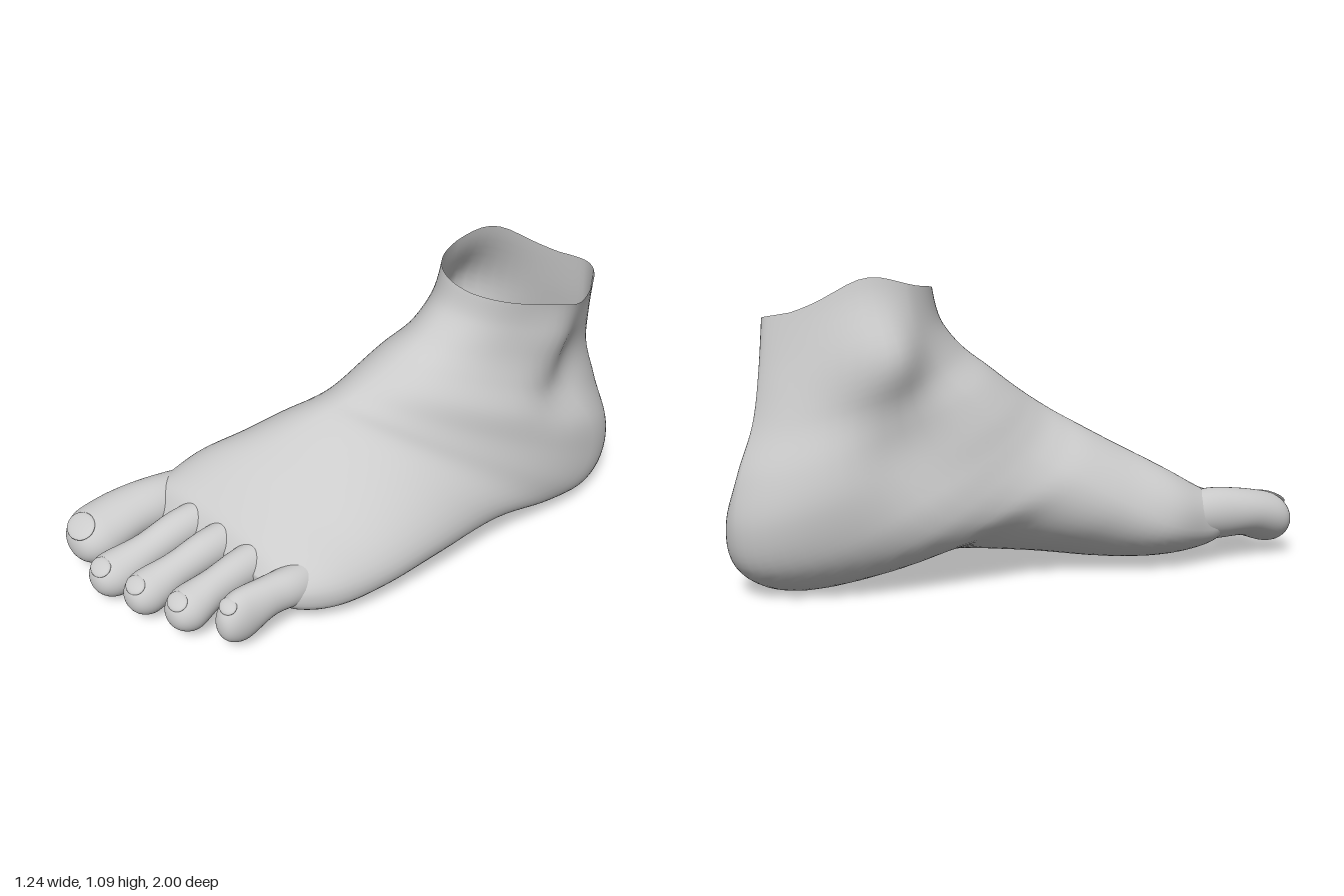
import * as THREE from 'three';

const { smoothstep, lerp } = THREE.MathUtils;
const AROUND = 64;
const skin = new THREE.MeshStandardMaterial({ color: 0xcccccc, roughness: 0.8, side: THREE.DoubleSide });

// Smooth interpolation of a table of stations, s in [0, rows - 1]
function sample(rows, s) {
  const i = Math.min(Math.floor(s), rows.length - 2);
  const t = s - i;
  const at = (k) => rows[Math.max(0, Math.min(rows.length - 1, k))];
  return rows[i].map((_, c) => {
    const a = at(i - 1)[c], b = at(i)[c], d = at(i + 1)[c], e = at(i + 2)[c];
    return b + 0.5 * t * (d - a + t * (2 * a - 5 * b + 4 * d - e + t * (3 * (b - d) + e - a)));
  });
}

// Skin a list of rings, open at the first and closed at the last
function loft(name, rings) {
  const points = rings.flat();
  const index = [];
  for (let i = 0; i < rings.length - 1; i++) {
    for (let j = 0; j < AROUND; j++) {
      const a = i * AROUND + j, b = i * AROUND + (j + 1) % AROUND;
      index.push(a, a + AROUND, b, b, a + AROUND, b + AROUND);
    }
  }
  const last = rings[rings.length - 1];
  const centre = last.reduce((c, p) => c.add(p), new THREE.Vector3()).divideScalar(AROUND);
  const base = (rings.length - 1) * AROUND;
  for (let j = 0; j < AROUND; j++) index.push(base + j, points.length, base + (j + 1) % AROUND);
  points.push(centre);
  const geometry = new THREE.BufferGeometry().setFromPoints(points);
  geometry.setIndex(index);
  geometry.computeVertexNormals();
  const mesh = new THREE.Mesh(geometry, skin);
  mesh.name = name;
  return mesh;
}

// Sections fan round from the ankle opening to the ball of the foot:
// top z, y | heel/sole z, y | x at top, sole, right, left | depth of widest point right, left
const STATIONS = [
  [-0.24, 1.03, -0.83, 0.98, 0.28, 0.42, 0.555, 0.105, 0.52, 0.36],
  [-0.215, 0.94, -0.86, 0.78, 0.26, 0.41, 0.525, 0.08, 0.52, 0.36],
  [-0.14, 0.85, -0.90, 0.60, 0.22, 0.40, 0.505, 0.035, 0.53, 0.33],
  [-0.06, 0.78, -0.97, 0.42, 0.18, 0.39, 0.54, -0.03, 0.60, 0.28],
  [0.015, 0.715, -1.00, 0.25, 0.14, 0.38, 0.605, -0.08, 0.70, 0.26],
  [0.075, 0.665, -0.96, 0.10, 0.10, 0.38, 0.62, -0.115, 0.75, 0.26],
  [0.12, 0.63, -0.82, 0.015, 0.07, 0.38, 0.615, -0.15, 0.76, 0.28],
  [0.16, 0.595, -0.60, 0.02, 0.03, 0.35, 0.58, -0.195, 0.76, 0.31],
  [0.22, 0.55, -0.30, 0.085, -0.02, 0.28, 0.54, -0.265, 0.75, 0.38],
  [0.32, 0.48, 0.00, 0.065, -0.09, 0.14, 0.50, -0.37, 0.72, 0.48],
  [0.42, 0.41, 0.25, 0.03, -0.16, 0.00, 0.45, -0.47, 0.70, 0.53],
  [0.52, 0.345, 0.45, 0.02, -0.20, -0.05, 0.395, -0.50, 0.65, 0.52],
  [0.60, 0.285, 0.58, 0.045, -0.22, -0.08, 0.32, -0.51, 0.60, 0.50],
  [0.65, 0.205, 0.64, 0.11, -0.14, -0.10, 0.25, -0.44, 0.55, 0.50],
];

// Soft mounds and hollows on the sides of the ankle: side, y, z, radius y, radius z, amount
const MOUNDS = [
  [-1, 0.83, -0.61, 0.16, 0.15, 0.095],
  [-1, 0.50, -0.56, 0.16, 0.17, -0.05],
  [1, 0.80, -0.48, 0.17, 0.12, 0.05],
  [1, 0.57, -0.56, 0.11, 0.14, -0.025],
];

function footSection(s) {
  const [tz, ty, bz, by, xTop, xSole, xRight, xLeft, vRight, vLeft] = sample(STATIONS, s);
  const upperLeft = lerp(1, 0.85, smoothstep(s, 8, 12));
  const upperRight = 1 + 0.14 * smoothstep(s, 3, 7) - 0.32 * smoothstep(s, 9, 12.5);
  const lowerRight = lerp(1, 0.75, smoothstep(s, 3, 7));
  const lowerLeft = 1.3 - 0.25 * smoothstep(s, 0, 2) + 0.1 * smoothstep(s, 3, 5) - 0.4 * smoothstep(s, 8, 11);
  const ring = [];
  for (let j = 0; j < AROUND; j++) {
    const angle = (j / AROUND) * Math.PI * 2;
    const right = angle < Math.PI;
    const c = Math.cos(angle), isTop = c >= 0;
    const upper = right ? upperRight : upperLeft;
    const lower = right ? lowerRight : lowerLeft;
    const e = isTop ? upper : lower;
    const out = Math.abs(Math.sin(angle)) ** e, along = Math.abs(c) ** e;
    const widest = right ? vRight : vLeft;
    const v = isTop ? widest * (1 - along) : widest + (1 - widest) * along;
    let x = lerp(isTop ? xTop : xSole, right ? xRight : xLeft, out);
    let y = lerp(ty, by, v);
    const z = lerp(tz, bz, v);
    // Rim of the opening peaks at the inner back and dips at the outer back
    const tilt = ((0.33 - x) / 0.23) * (x > 0.33 ? 0.5 : 1);
    y += tilt * (0.05 + 0.09 * Math.exp(-(((z + 0.64) / 0.14) ** 2))) * Math.max(0, 1 - s / 2) ** 1.5;
    for (const [side, my, mz, ry, rz, amount] of MOUNDS) {
      const near = Math.exp(-(((y - my) / ry) ** 2) - ((z - mz) / rz) ** 2);
      if ((side > 0) === right) x += side * amount * near * smoothstep(out, 0.1, 0.95);
    }
    ring.push(new THREE.Vector3(x, y, z));
  }
  return ring;
}

// Toe paths: z, x, y, half width, half height
const TOES = {
  bigToe: [[0.40, -0.40, 0.19, 0.07, 0.08], [0.58, -0.438, 0.19, 0.098, 0.098], [0.72, -0.478, 0.182, 0.11, 0.093],
    [0.85, -0.502, 0.15, 0.118, 0.1], [0.95, -0.50, 0.14, 0.10, 0.087]],
  secondToe: [[0.44, -0.19, 0.22, 0.07, 0.08], [0.65, -0.24, 0.205, 0.068, 0.075], [0.80, -0.275, 0.16, 0.065, 0.07],
    [0.92, -0.312, 0.115, 0.083, 0.083], [1.00, -0.32, 0.11, 0.07, 0.07]],
  middleToe: [[0.44, -0.05, 0.21, 0.07, 0.08], [0.65, -0.085, 0.20, 0.067, 0.075], [0.79, -0.115, 0.163, 0.062, 0.07],
    [0.90, -0.145, 0.12, 0.078, 0.083], [0.98, -0.15, 0.115, 0.07, 0.07]],
  fourthToe: [[0.44, 0.10, 0.20, 0.07, 0.08], [0.63, 0.07, 0.19, 0.066, 0.075], [0.76, 0.05, 0.163, 0.062, 0.072],
    [0.86, 0.03, 0.125, 0.079, 0.083], [0.94, 0.025, 0.12, 0.07, 0.07]],
  littleToe: [[0.38, 0.26, 0.16, 0.06, 0.08], [0.56, 0.253, 0.175, 0.068, 0.078], [0.67, 0.225, 0.17, 0.062, 0.078],
    [0.77, 0.195, 0.135, 0.067, 0.102], [0.86, 0.19, 0.125, 0.06, 0.085]],
};

function toeSection(path, t) {
  const [z, x, y, rx, ry] = sample(path, t * (path.length - 1));
  const round = t > 0.75 ? Math.sqrt(Math.max(0.0004, 1 - ((t - 0.75) / 0.25) ** 2)) : 1;
  return Array.from({ length: AROUND }, (_, j) => {
    const a = (j / AROUND) * Math.PI * 2;
    return new THREE.Vector3(x + Math.sin(a) * rx * round, y + Math.cos(a) * ry * round, z);
  });
}

export function createModel() {
  const model = new THREE.Group();
  model.name = 'foot';

  // Ankle, heel, arch and ball in one skin, ending in a blunt front between the toes
  const steps = (STATIONS.length - 1) * 6;
  const body = Array.from({ length: steps + 1 }, (_, i) => footSection(i / 6));
  model.add(loft('footBody', body));

  // Toes with shallow nails
  for (const [name, path] of Object.entries(TOES)) {
    const toe = new THREE.Group();
    toe.name = name;
    const rings = Array.from({ length: 29 }, (_, k) => toeSection(path, Math.sin((k / 28) * Math.PI / 2)));
    toe.add(loft(name + 'Skin', rings));

    const nail = new THREE.Mesh(new THREE.SphereGeometry(1, 24, 12), skin);
    nail.name = name + 'Nail';
    const top = toeSection(path, 0.87)[0];
    nail.position.set(top.x, top.y - 0.009, top.z);
    nail.scale.set(path[3][3] * 0.55, 0.012, path[3][3] * 0.45);
    nail.rotation.x = 0.6;
    toe.add(nail);
    model.add(toe);
  }
  return model;
}
